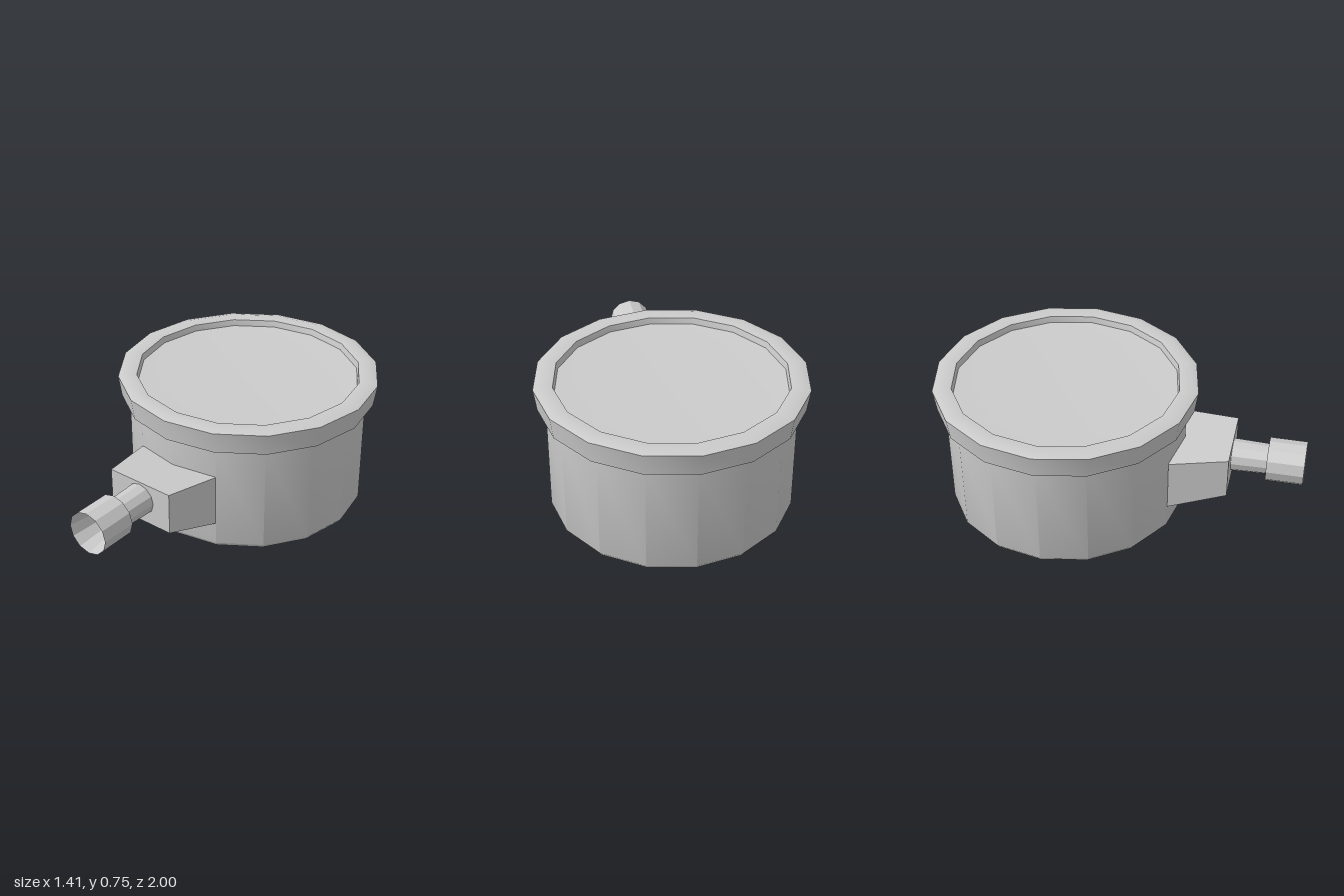
import * as THREE from 'three';
import { toCreasedNormals } from 'three/addons/utils/BufferGeometryUtils.js';

const material = new THREE.MeshStandardMaterial({ color: 0xcccccc });

// Turned part: profile of [radius, height] from bottom to top
function turned(name, profile, sides, crease) {
  const points = profile.map(([r, h]) => new THREE.Vector2(r, h));
  const geometry = toCreasedNormals(new THREE.LatheGeometry(points, sides), crease);
  const mesh = new THREE.Mesh(geometry, material);
  mesh.name = name;
  return mesh;
}

export function createModel() {
  const model = new THREE.Group();
  model.name = 'pressureGauge';
  const centreZ = -0.293, stemY = 0.368;

  // Round case with bevelled foot
  const body = turned('case', [[0, 0], [0.63, 0], [0.647, 0.025], [0.647, 0.61]], 16, 0.6);

  // Flared rim, running down to the recessed lens
  const rim = turned('rim', [
    [0.64, 0.6], [0.647, 0.6], [0.69, 0.617], [0.707, 0.735],
    [0.665, 0.747], [0.607, 0.74], [0.6, 0.705],
  ], 16, 0.75);
  const lens = turned('lens', [[0.6, 0.705], [0.5, 0.7], [0, 0.7]], 16, 0.6);
  for (const part of [body, rim, lens]) {
    part.position.z = centreZ;
    model.add(part);
  }

  // Mounting block, tapering towards the front
  const box = new THREE.BoxGeometry(1, 1, 1);
  const p = box.attributes.position;
  for (let i = 0; i < p.count; i++) {
    const front = p.getZ(i) > 0, top = p.getY(i) > 0;
    p.setXYZ(i,
      Math.sign(p.getX(i)) * (front ? 0.193 : 0.248),
      front ? (top ? 0.468 : 0.238) : (top ? 0.44 : 0.152),
      front ? 0.613 : 0.307);
  }
  box.computeVertexNormals();
  const block = new THREE.Mesh(box, material);
  block.name = 'mountingBlock';
  model.add(block);

  // Stem and hollow connector nut, pointing forwards
  const stem = turned('stem', [[0.088, 0.6], [0.082, 0.805]], 12, 0.4);
  const nut = turned('connectorNut', [
    [0.075, 0.802], [0.117, 0.802], [0.117, 1], [0.085, 0.81], [0, 0.81],
  ], 12, 0.4);
  for (const part of [stem, nut]) {
    part.rotation.x = Math.PI / 2;
    part.position.y = stemY;
    model.add(part);
  }
  return model;
}
